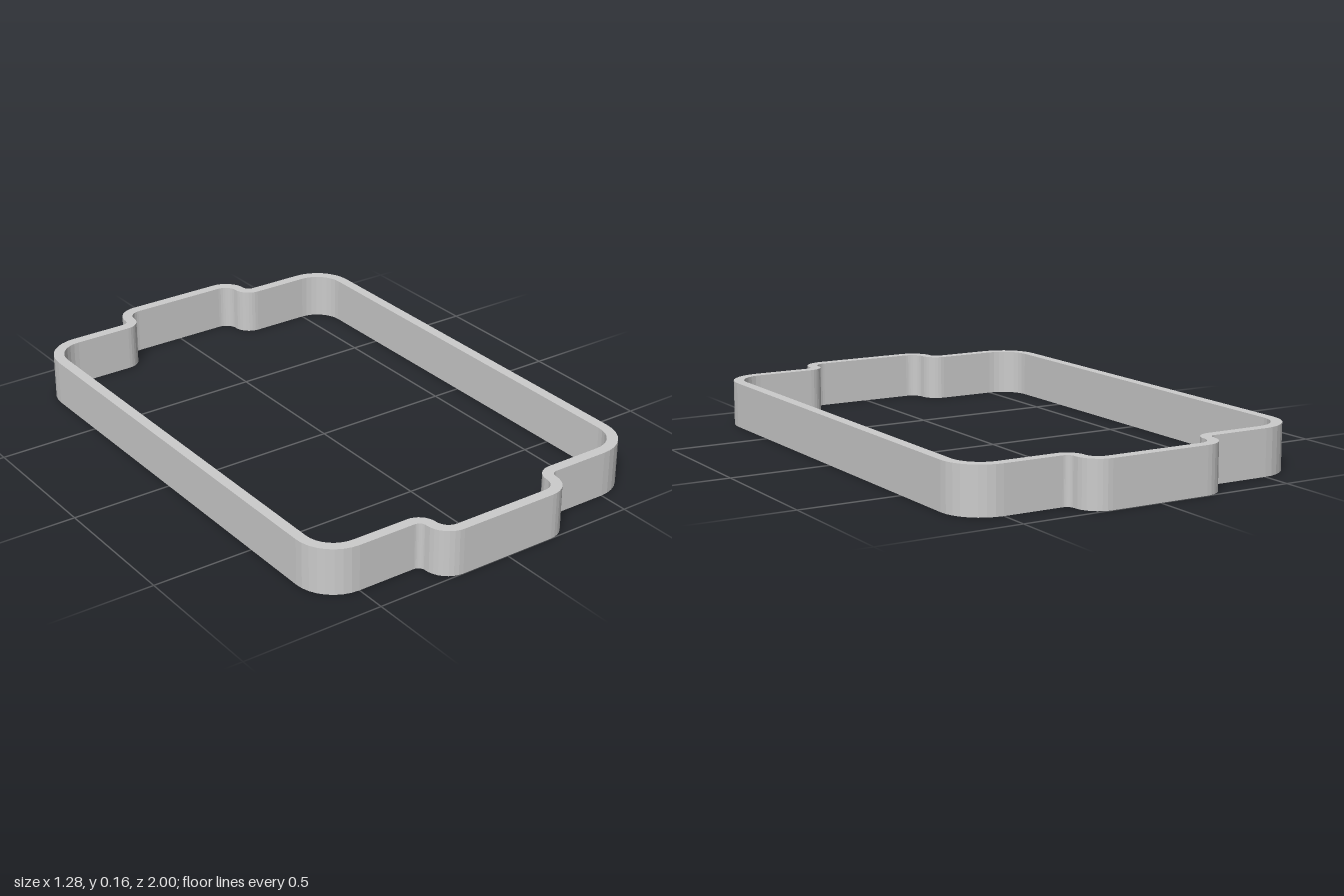
import * as THREE from 'three';

const HEIGHT = 0.163;
const WALL = 0.038;
const SEGMENTS = 8;

// Closed outline moved inward by `inset`: a rounded rectangle with a rounded tab at each end
function outline(inset) {
  const quarter = [];
  const arc = (cx, cy, radius, from, to) => {
    for (let i = 0; i <= SEGMENTS; i++) {
      const a = THREE.MathUtils.degToRad(from + ((to - from) * i) / SEGMENTS);
      quarter.push(new THREE.Vector2(cx + radius * Math.cos(a), cy + radius * Math.sin(a)));
    }
  };
  arc(0.5, 0.75, 0.14 - inset, 0, 90); // body corner
  arc(0.29, 0.915, 0.025 + inset, 270, 180); // fillet into the tab
  arc(0.18, 0.915, 0.085 - inset, 0, 90); // tab corner

  // Mirror the quarter to the other side, then turn that half round for the other end
  const half = [...quarter, ...quarter.map((p) => new THREE.Vector2(-p.x, p.y)).reverse()];
  return [...half, ...half.map((p) => new THREE.Vector2(-p.x, -p.y))];
}

export function createModel() {
  const group = new THREE.Group();
  group.name = 'tabbedFrame';

  // Thin wall following the outline, open at top and bottom
  const shape = new THREE.Shape(outline(0));
  shape.holes.push(new THREE.Path(outline(WALL)));
  const geometry = new THREE.ExtrudeGeometry(shape, { depth: HEIGHT, bevelEnabled: false });
  geometry.rotateX(-Math.PI / 2);

  const wall = new THREE.Mesh(geometry, new THREE.MeshStandardMaterial({ color: 0xcccccc }));
  wall.name = 'outlineWall';
  group.add(wall);
  return group;
}
